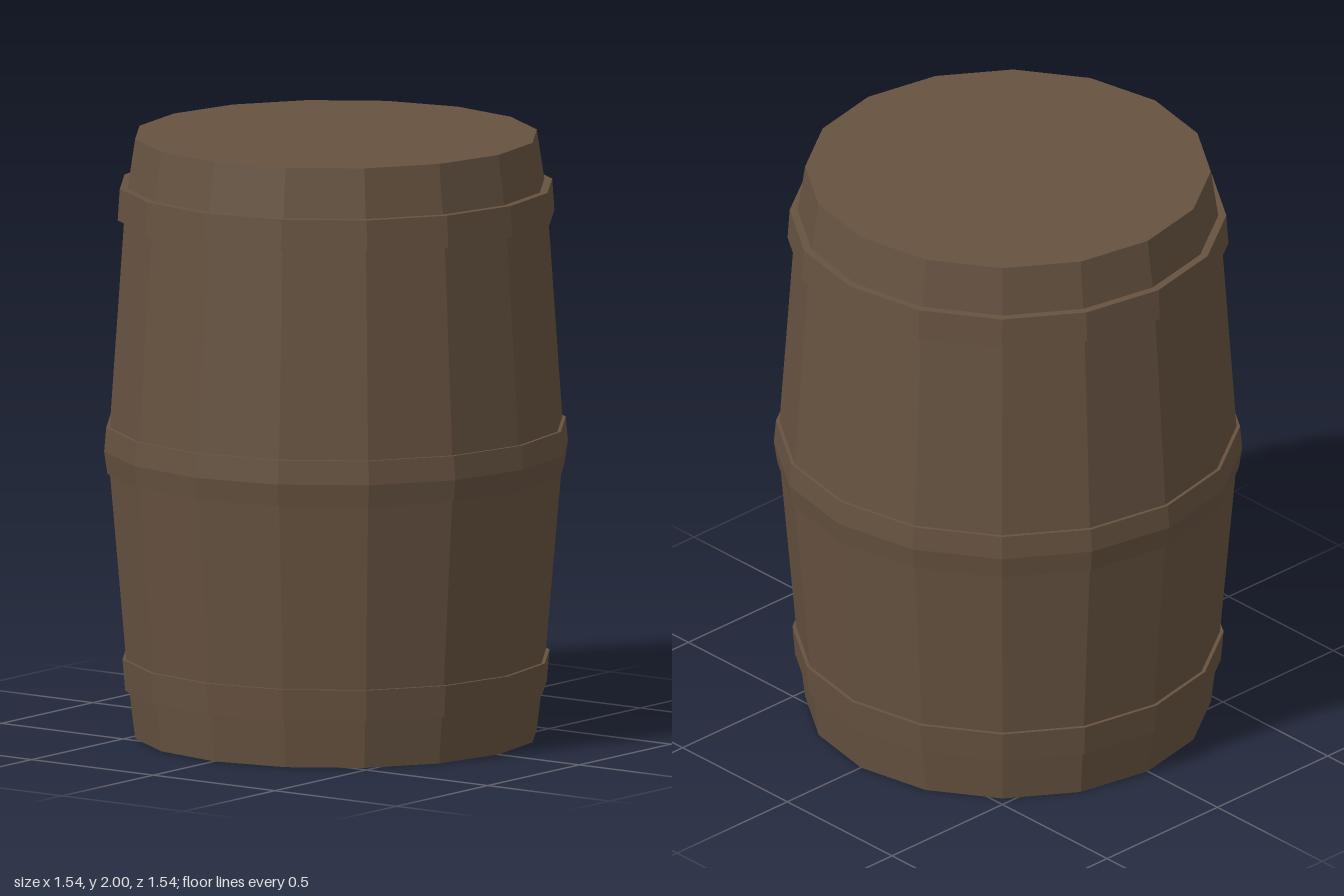
import * as THREE from 'three';

const SIDES = 16;

// Faceted surface of revolution from [radius, height] pairs listed upwards on the outside
function turned(name, profile, material) {
  const points = profile.map(([r, y]) => new THREE.Vector2(r, y));
  const mesh = new THREE.Mesh(new THREE.LatheGeometry(points, SIDES), material);
  mesh.name = name;
  return mesh;
}

export function createModel() {
  const barrel = new THREE.Group();
  barrel.name = 'barrel';

  const wood = new THREE.MeshStandardMaterial({ color: 0x665240, flatShading: true });
  wood.name = 'brown wood';

  // Bulging stave wall
  barrel.add(turned('staves', [
    [0.667, 0], [0.693, 0.22], [0.757, 0.96], [0.7, 1.78], [0.667, 2],
  ], wood));

  // Flat heads closing both ends
  for (const [name, y, tilt] of [['topHead', 2, -1], ['bottomHead', 0, 1]]) {
    const head = new THREE.Mesh(new THREE.CircleGeometry(0.667, SIDES), wood);
    head.name = name;
    head.rotation.x = tilt * Math.PI / 2;
    head.position.y = y;
    barrel.add(head);
  }

  // Hoops: outer face with ledges running back into the staves
  const hoops = {
    lowerHoop: [[0.7, 0.16], [0.709, 0.265]],
    middleHoop: [[0.759, 0.885], [0.77, 0.96], [0.763, 1.04]],
    upperHoop: [[0.725, 1.73], [0.718, 1.835]],
  };
  for (const [name, face] of Object.entries(hoops)) {
    const bottom = face[0], top = face[face.length - 1];
    barrel.add(turned(name, [
      [bottom[0] - 0.05, bottom[1]], ...face, [top[0] - 0.05, top[1]],
    ], wood));
  }

  return barrel;
}
